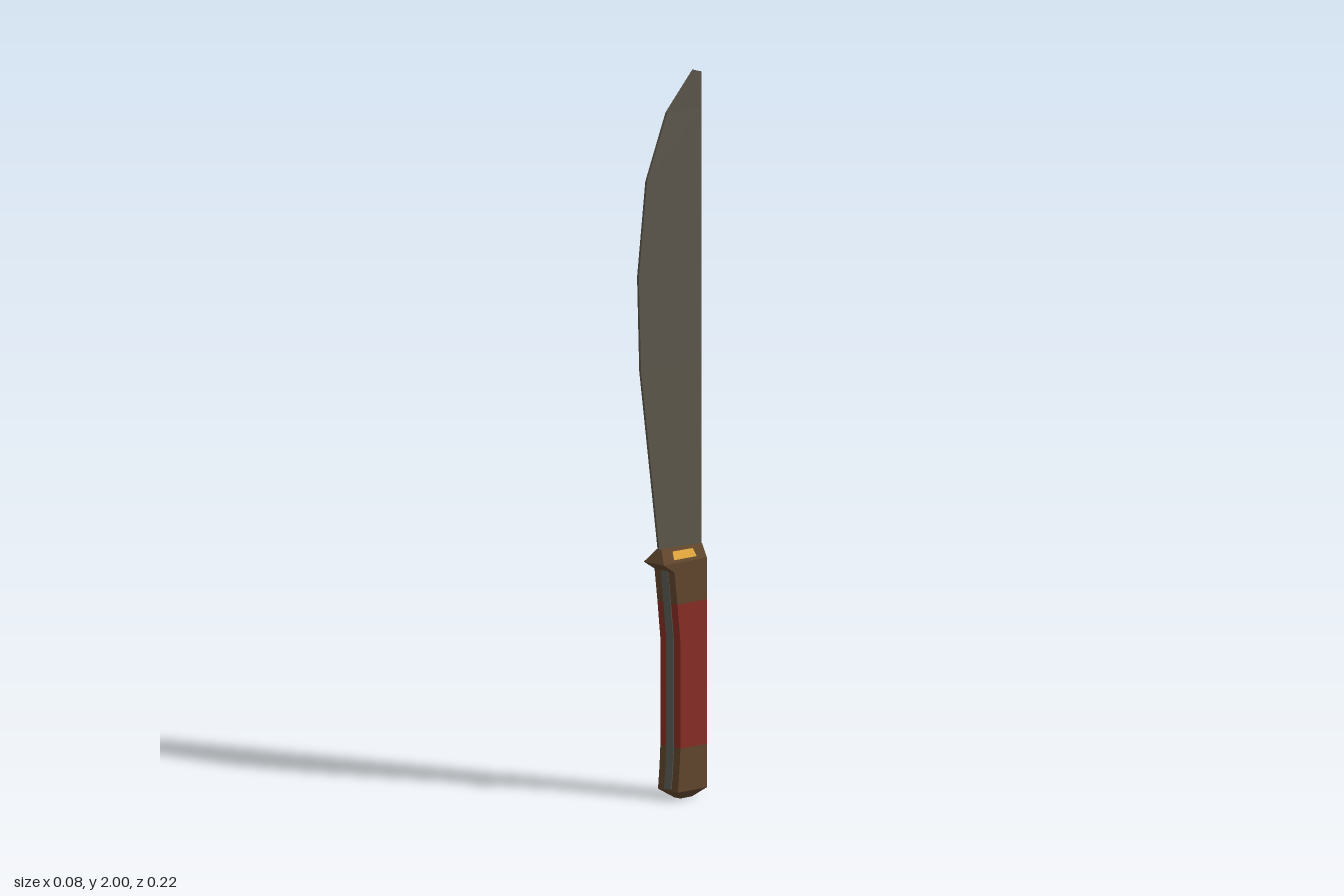
import * as THREE from 'three';
import { ConvexGeometry } from 'three/addons/geometries/ConvexGeometry.js';

const mat = (color) => new THREE.MeshStandardMaterial({ color, flatShading: true });
const BACK = -0.11;

// Skin four-cornered sections, each [y, zBack, zFront, half width at back, half width at front]
function loft(name, material, sections) {
  const pos = [], idx = [];
  for (const [y, zb, zf, xb, xf] of sections) {
    pos.push(xf, y, zf, xb, y, zb, -xb, y, zb, -xf, y, zf);
  }
  const last = (sections.length - 1) * 4;
  for (let r = 0; r < last; r += 4) {
    for (let i = 0; i < 4; i++) {
      const a = r + i, b = r + (i + 1) % 4;
      idx.push(a, b, b + 4, a, b + 4, a + 4);
    }
  }
  idx.push(0, 2, 1, 0, 3, 2, last, last + 1, last + 2, last, last + 2, last + 3);
  const indexed = new THREE.BufferGeometry();
  indexed.setAttribute('position', new THREE.Float32BufferAttribute(pos, 3));
  indexed.setIndex(idx);
  const geo = indexed.toNonIndexed();
  geo.computeVertexNormals();
  const mesh = new THREE.Mesh(geo, material);
  mesh.name = name;
  return mesh;
}

export function createModel() {
  const group = new THREE.Group();
  group.name = 'machete';
  const steel = mat(0x5c564b), tangSteel = mat(0x5a5a53);
  const brown = mat(0x60452c), red = mat(0x852d24), gold = mat(0xdca23a);

  // Blade: thick flat spine, narrow curved edge, clipped tip
  const edge = [[0.66, 0.03], [1.2, 0.104], [1.46, 0.112], [1.72, 0.081], [1.9, 0.005]];
  group.add(loft('blade', steel, [
    ...edge.map(([y, z]) => [y, BACK, z, 0.018, 0.0035]),
    [2, BACK, BACK, 0.018, 0.018],
  ]));

  // Handle bands, from the pommel up to the collar
  const W = 0.039;
  const band = (name, material, outline) =>
    group.add(loft(name, material, outline.map(([y, z]) => [y, BACK, z, W, W])));
  group.add(loft('pommel', brown, [
    [0, -0.08, -0.036, 0.012, 0.012],
    [0.025, BACK, -0.001, W, W],
  ]));
  band('lowerCollar', brown, [[0.025, -0.001], [0.09, -0.007], [0.145, -0.01]]);
  band('grip', red, [[0.145, -0.01], [0.44, -0.01], [0.545, 0.001]]);
  band('upperCollar', brown, [[0.545, 0.001], [0.635, 0.012]]);

  // Tang showing as a strip along the front and back of the handle
  const tang = [[0.03, 0.001], [0.09, -0.005], [0.145, -0.008], [0.44, -0.008], [0.545, 0.003], [0.634, 0.013]];
  group.add(loft('tang', tangSteel, tang.map(([y, z]) => [y, BACK - 0.0015, z, 0.014, 0.014])));

  // Guard with a pointed front, narrowing to meet the blade
  group.add(loft('guard', brown, [
    [0.635, BACK, 0.012, W, W],
    [0.66, BACK, 0.052, W, W],
    [0.697, BACK, 0.032, 0.02, 0.008],
  ]));

  // Gold inlay on each sloping side of the guard
  const corners = [[0.01, 0.2], [-0.074, 0.2], [-0.071, 0.76], [0, 0.76]];
  for (const side of [1, -1]) {
    const pts = [];
    for (const [z, t] of corners) {
      const top = THREE.MathUtils.mapLinear(z, BACK, 0.032, 0.02, 0.008);
      const x = THREE.MathUtils.lerp(W, top, t), y = THREE.MathUtils.lerp(0.66, 0.697, t);
      pts.push(new THREE.Vector3(side * (x + 0.002), y + 0.001, z));
      pts.push(new THREE.Vector3(side * (x - 0.005), y - 0.002, z));
    }
    const inlay = new THREE.Mesh(new ConvexGeometry(pts), gold);
    inlay.name = side > 0 ? 'leftInlay' : 'rightInlay';
    group.add(inlay);
  }
  return group;
}
